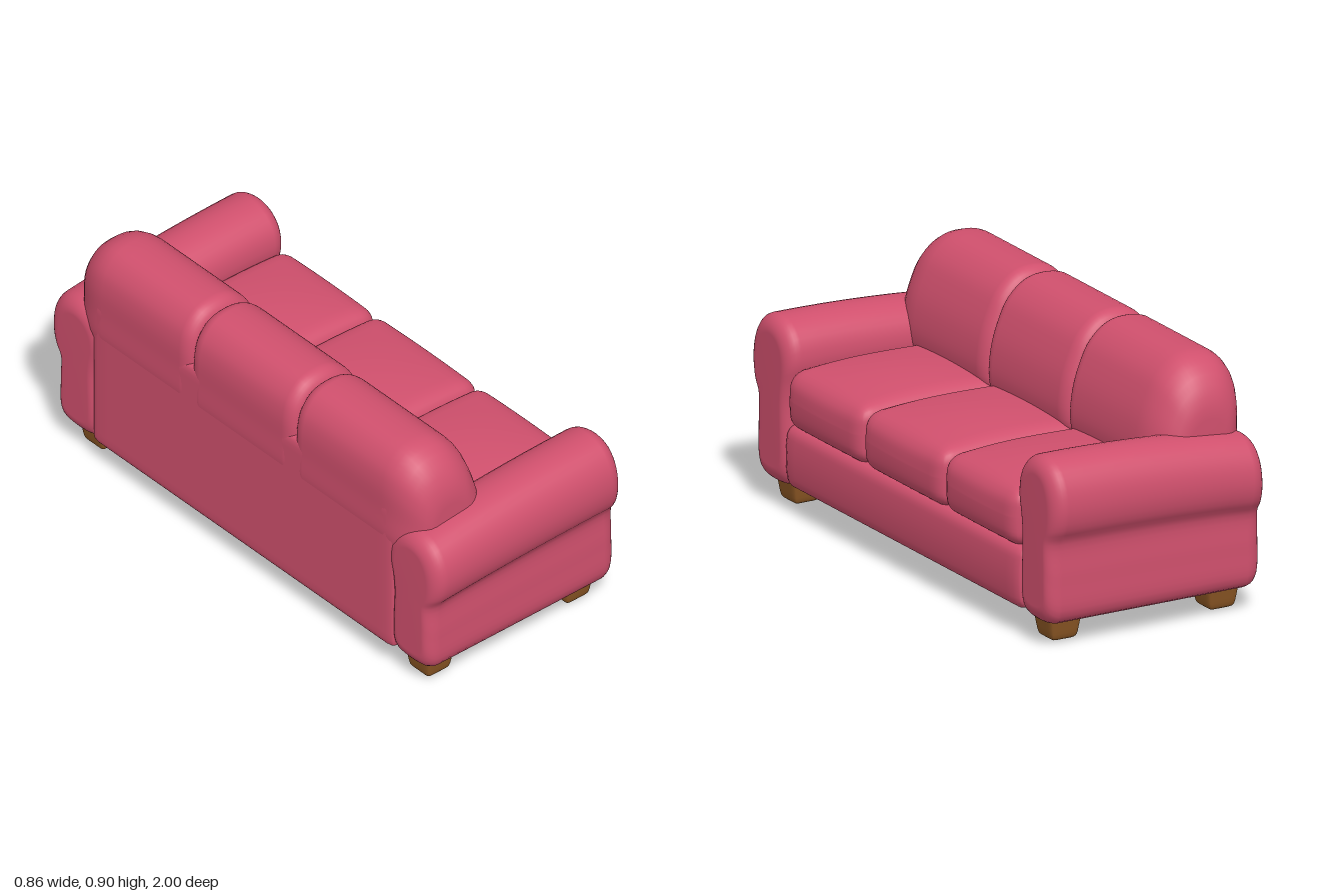
import * as THREE from 'three';
import { mergeVertices } from 'three/addons/utils/BufferGeometryUtils.js';

// Box with rounded edges, finely divided so that bend(v, u) can puff or taper it (u runs -1..1)
function softBox(min, max, r, bend, n = 20) {
  let geo = new THREE.BoxGeometry(2, 2, 2, n, n, n);
  geo.deleteAttribute('uv');
  geo.deleteAttribute('normal');
  geo = mergeVertices(geo, 1e-4);
  const lo = new THREE.Vector3(...min), hi = new THREE.Vector3(...max);
  const half = hi.clone().sub(lo).multiplyScalar(0.5);
  const mid = hi.clone().add(lo).multiplyScalar(0.5);
  const inner = half.clone().subScalar(r);
  const pos = geo.attributes.position;
  const v = new THREE.Vector3();
  for (let i = 0; i < pos.count; i++) {
    v.fromBufferAttribute(pos, i);
    // crowd the divisions towards the edges
    v.set(...v.toArray().map((c) => Math.sin(c * Math.PI / 2))).multiply(half);
    const core = v.clone().clamp(inner.clone().negate(), inner);
    v.sub(core).setLength(r).add(core);
    const u = v.clone().divide(half);
    v.add(mid);
    if (bend) bend(v, u);
    pos.setXYZ(i, v.x, v.y, v.z);
  }
  geo.computeVertexNormals();
  return geo;
}

// Sections from t0 to t1 with elliptical rounding; each end is { len, ru, rv }
function roundedSections(t0, t1, a, b) {
  const out = [], steps = 8;
  const add = (end, t, dir, k) => {
    const th = (k / steps) * Math.PI / 2;
    out.push({ t: t + dir * end.len * (1 - Math.sin(th)), du: end.ru * (1 - Math.cos(th)), dv: end.rv * (1 - Math.cos(th)) });
  };
  for (let k = steps; k >= 0; k--) add(a, t0, 1, k);
  const m0 = t0 + a.len, m1 = t1 - b.len;
  for (let k = 1; k < 8; k++) out.push({ t: m0 + (m1 - m0) * k / 8, du: 0, dv: 0 });
  for (let k = 0; k <= steps; k++) add(b, t1, -1, k);
  return out;
}

// Closed smooth profile swept through the sections, shrinking about a centre
function loft(points, centre, half, sections, place) {
  const N = 64;
  const curve = new THREE.CatmullRomCurve3(points.map(([u, v]) => new THREE.Vector3(u, v, 0)), true, 'centripetal');
  const ring = curve.getSpacedPoints(N).slice(0, N);
  const pos = [], idx = [];
  for (const s of sections) {
    for (const p of ring) {
      pos.push(...place(
        centre[0] + (p.x - centre[0]) * (1 - s.du / half[0]),
        centre[1] + (p.y - centre[1]) * (1 - s.dv / half[1]), s.t));
    }
  }
  const last = sections.length - 1;
  for (let j = 0; j < last; j++) {
    for (let i = 0; i < N; i++) {
      const a = j * N + i, b = j * N + (i + 1) % N;
      idx.push(a, b, b + N, a, b + N, a + N);
    }
  }
  // end caps
  for (const j of [0, last]) {
    const c = pos.length / 3;
    pos.push(...place(centre[0], centre[1] + half[1] * 0.2, sections[j].t));
    for (let i = 0; i < N; i++) {
      const a = j * N + i, b = j * N + (i + 1) % N;
      idx.push(...(j ? [a, b, c] : [b, a, c]));
    }
  }
  // turn the faces outward
  const P = (i) => new THREE.Vector3().fromArray(pos, i * 3);
  let volume = 0;
  for (let i = 0; i < idx.length; i += 3) volume += P(idx[i]).dot(P(idx[i + 1]).cross(P(idx[i + 2])));
  if (volume < 0) idx.reverse();
  const geo = new THREE.BufferGeometry();
  geo.setAttribute('position', new THREE.Float32BufferAttribute(pos, 3));
  geo.setIndex(idx);
  geo.computeVertexNormals();
  return geo;
}

export function createModel() {
  const model = new THREE.Group();
  model.name = 'sofa';
  const fabric = new THREE.MeshStandardMaterial({ color: 0xd0506d });
  fabric.name = 'rose fabric';
  const wood = new THREE.MeshStandardMaterial({ color: 0x8c5724 });
  wood.name = 'brown wood';
  const add = (name, geo, mat = fabric) => {
    const mesh = new THREE.Mesh(geo, mat);
    mesh.name = name;
    model.add(mesh);
  };

  // base with a softly bulging front, and the flat rear panel
  add('base', softBox([-0.41, 0.09, -0.77], [0.405, 0.32, 0.77], 0.04, (v, u) => {
    if (u.x > 0) v.x += 0.013 * u.x * (1 - u.y * u.y);
  }));
  add('backPanel', softBox([-0.43, 0.09, -0.775], [-0.16, 0.7, 0.775], 0.03));

  // rolled arms, lower towards the rear
  const armProfile = [
    [0.78, 0.09], [0.925, 0.09], [0.952, 0.12], [0.957, 0.25], [0.957, 0.385], [0.985, 0.43],
    [1.0, 0.505], [0.985, 0.59], [0.94, 0.65], [0.87, 0.672], [0.795, 0.655], [0.745, 0.605],
    [0.73, 0.53], [0.745, 0.46], [0.755, 0.38], [0.755, 0.12],
  ];
  const armEnd = { len: 0.055, ru: 0.05, rv: 0.06 };
  for (const side of [1, -1]) {
    add(side > 0 ? 'leftArm' : 'rightArm', loft(armProfile, [0.86, 0.38], [0.125, 0.29],
      roundedSections(-0.428, 0.412, armEnd, armEnd), (z, y, x) => {
        const drop = 0.085 * ((0.35 - Math.min(x, 0.35)) / 0.77) ** 2;
        return [x, y - Math.max(0, y - 0.1) * drop, z * side];
      }));
  }

  // back cushions, the outer two with rounded shoulders
  const backProfile = [
    [-0.41, 0.5], [-0.428, 0.54], [-0.43, 0.65], [-0.428, 0.76], [-0.41, 0.825], [-0.36, 0.88],
    [-0.285, 0.896], [-0.215, 0.883], [-0.15, 0.83], [-0.11, 0.755], [-0.08, 0.66],
    [-0.072, 0.55], [-0.09, 0.5],
  ];
  const seam = { len: 0.055, ru: 0.035, rv: 0.055 };
  const shoulder = { len: 0.17, ru: 0.1, rv: 0.2 };
  const backs = [
    ['leftBackCushion', 0.258, 0.888, seam, shoulder],
    ['middleBackCushion', -0.27, 0.262, seam, seam],
    ['rightBackCushion', -0.888, -0.266, shoulder, seam],
  ];
  for (const [name, z0, z1, a, b] of backs) {
    add(name, loft(backProfile, [-0.25, 0.5], [0.18, 0.395], roundedSections(z0, z1, a, b), (x, y, z) => [x, y, z]));
  }

  // seat cushions, puffed on top and in front
  const seats = [['leftSeat', 0.253, 0.75], ['middleSeat', -0.272, 0.257], ['rightSeat', -0.75, -0.268]];
  for (const [name, z0, z1] of seats) {
    add(name + 'Cushion', softBox([-0.16, 0.305, z0], [0.412, 0.525, z1], 0.055, (v, u) => {
      if (u.y > 0) v.y += 0.024 * u.y * (1 - u.x * u.x) * (1 - u.z * u.z) - 0.012 * Math.max(0, u.x) ** 2;
      if (u.x > 0) v.x += 0.018 * u.x * (1 - u.y * u.y) * (1 - 0.6 * u.z * u.z);
    }));
  }

  // tapered legs: one pair at each end and a closer pair near the middle
  const legs = [
    ['leftFrontLeg', 0.3, 0.84, 0.008], ['leftRearLeg', -0.32, 0.84, 0.008],
    ['middleFrontLeg', 0.2, 0.06, 0], ['middleRearLeg', -0.2, 0.06, 0],
    ['rightFrontLeg', 0.3, -0.83, 0.008], ['rightRearLeg', -0.32, -0.83, 0.008],
  ];
  for (const [name, x, z, y] of legs) {
    add(name, softBox([x - 0.07, y, z - 0.07], [x + 0.07, 0.13, z + 0.07], 0.022, (v, u) => {
      const k = 0.86 + 0.14 * u.y;
      v.x = x + (v.x - x) * k;
      v.z = z + (v.z - z) * k;
    }, 10), wood);
  }
  return model;
}
